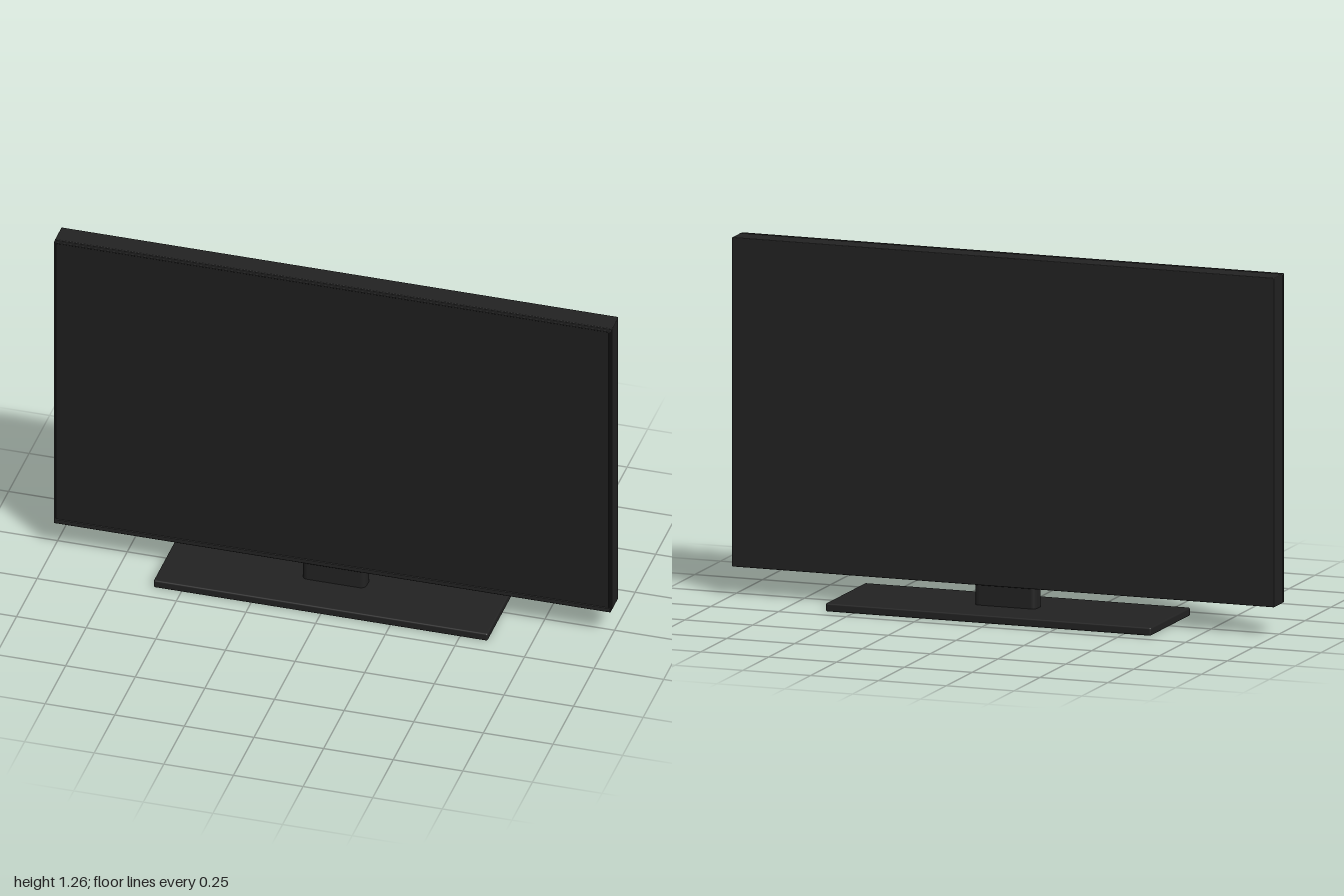
import * as THREE from 'three';
import { RoundedBoxGeometry } from 'three/addons/geometries/RoundedBoxGeometry.js';

const casing = new THREE.MeshStandardMaterial({ color: 0x222222 });
casing.name = 'charcoal casing';
const glass = new THREE.MeshStandardMaterial({ color: 0x1f1f1f });
glass.name = 'dark screen';

// Rectangle outline with rounded corners
function roundedRect(x0, y0, x1, y1, r, Type = THREE.Shape) {
  const s = new Type();
  s.moveTo(x0 + r, y0);
  s.lineTo(x1 - r, y0);
  s.absarc(x1 - r, y0 + r, r, -Math.PI / 2, 0);
  s.lineTo(x1, y1 - r);
  s.absarc(x1 - r, y1 - r, r, 0, Math.PI / 2);
  s.lineTo(x0 + r, y1);
  s.absarc(x0 + r, y1 - r, r, Math.PI / 2, Math.PI);
  s.lineTo(x0, y0 + r);
  s.absarc(x0 + r, y0 + r, r, Math.PI, Math.PI * 1.5);
  return s;
}

export function createModel() {
  const group = new THREE.Group();

  function add(name, geometry, material, x = 0, y = 0, z = 0) {
    const mesh = new THREE.Mesh(geometry, material);
    mesh.name = name;
    mesh.position.set(x, y, z);
    group.add(mesh);
    return mesh;
  }

  // Rear housing, and the slim core that leaves a seam behind the bezel
  add('rearHousing', new RoundedBoxGeometry(2, 1.157, 0.081, 2, 0.003), casing, 0, 0.6805, -0.0065);
  add('seamCore', new THREE.BoxGeometry(1.988, 1.145, 0.008), casing, 0, 0.6805, 0.035);

  // Front bezel with a wider chin below the screen
  const frame = roundedRect(-1, 0.102, 1, 1.259, 0.004);
  frame.holes.push(roundedRect(-0.992, 0.121, 0.992, 1.251, 0.002, THREE.Path));
  add('bezel', new THREE.ExtrudeGeometry(frame, {
    depth: 0.009, bevelEnabled: true, bevelThickness: 0.002, bevelSize: 0.002,
    bevelOffset: -0.002, bevelSegments: 1, curveSegments: 3,
  }), casing, 0, 0, 0.038);

  // Screen set just behind the bezel's front edge
  add('screen', new THREE.BoxGeometry(1.986, 1.132, 0.008), glass, 0, 0.686, 0.0435);

  // Neck with rounded vertical corners
  const neck = new THREE.ExtrudeGeometry(roundedRect(-0.114, -0.034, 0.114, 0.032, 0.02), {
    depth: 0.085, bevelEnabled: false, curveSegments: 6,
  });
  add('neck', neck.rotateX(-Math.PI / 2), casing, 0, 0.025, 0);

  // Flat foot
  add('base', new RoundedBoxGeometry(1.2, 0.029, 0.382, 3, 0.006), casing, 0, 0.0145, 0);

  return group;
}
